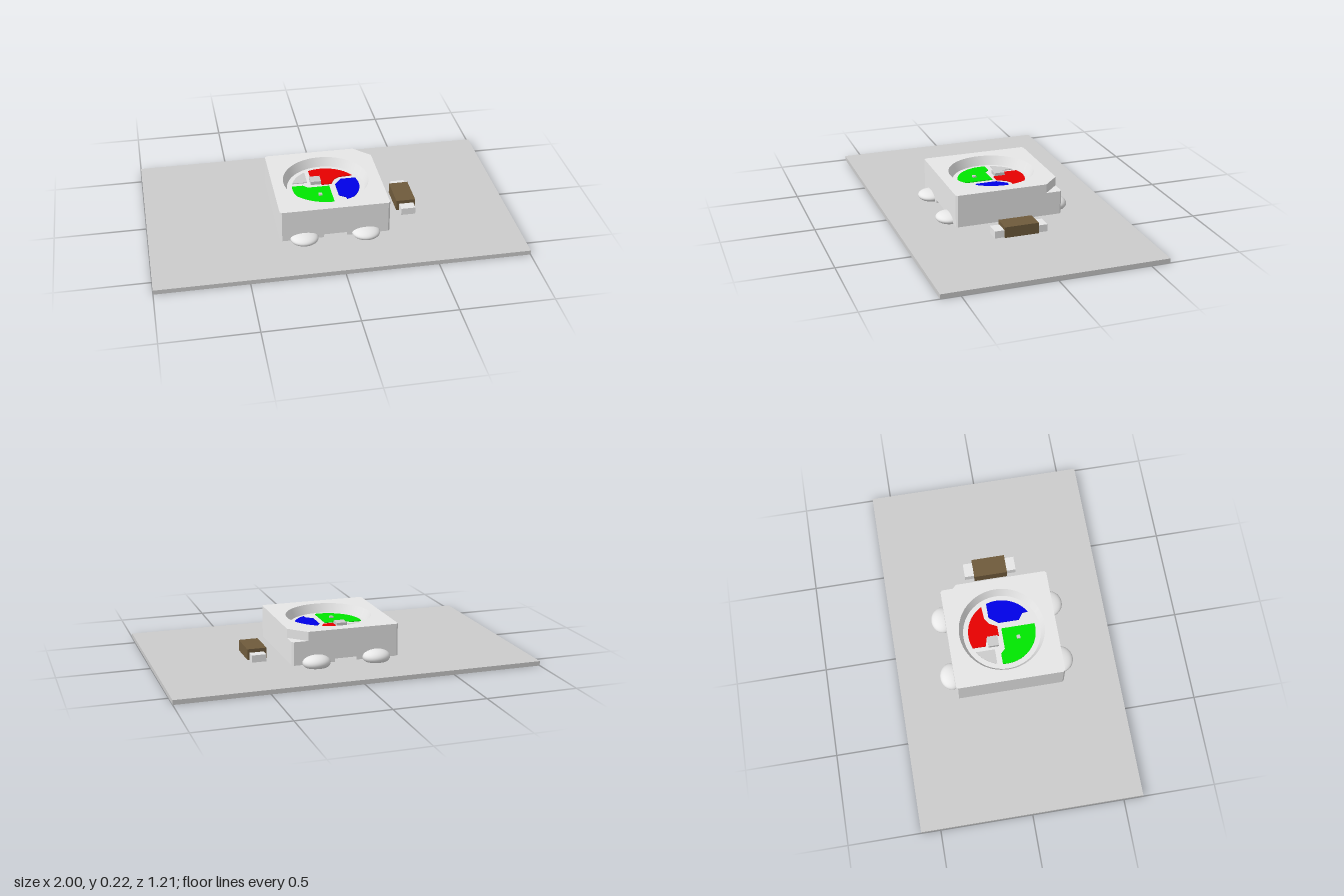
import * as THREE from 'three';

const mat = (name, color, extra = {}) => new THREE.MeshStandardMaterial({ name, color, ...extra });

// Extrudes an outline of [x, z] points upwards from y0 to y1
function slab(points, y0, y1, holeRadius = 0) {
  const shape = new THREE.Shape(points.map(([x, z]) => new THREE.Vector2(x, -z)));
  if (holeRadius) {
    const hole = new THREE.Path();
    hole.absarc(0, 0, holeRadius, 0, Math.PI * 2, true);
    shape.holes.push(hole);
  }
  const geo = new THREE.ExtrudeGeometry(shape, { depth: y1 - y0, bevelEnabled: false, curveSegments: 32 });
  return geo.rotateX(-Math.PI / 2).translate(0, y0, 0);
}

// Points on a circle in plan, from the direction of [x, z] a to that of b, clockwise seen from above
function arc(a, b, radius = 0.187, steps = 16) {
  const start = Math.atan2(a[1], a[0]);
  let end = Math.atan2(b[1], b[0]);
  if (end < start) end += Math.PI * 2;
  return Array.from({ length: steps + 1 }, (_, i) => {
    const t = start + (end - start) * i / steps;
    return [radius * Math.cos(t), radius * Math.sin(t)];
  });
}

export function createModel() {
  const root = new THREE.Group();
  root.name = 'ledOnBoard';

  const boardGrey = mat('board grey', 0xcccccc);
  const black = mat('underside black', 0x000000);
  const white = mat('housing white', 0xfafafa);
  const whiteOpen = mat('housing white', 0xfafafa, { side: THREE.DoubleSide });
  const brown = mat('capacitor brown', 0x6f5b3c);
  const red = mat('red', 0xff0000);
  const green = mat('green', 0x00ff00);
  const blue = mat('blue', 0x0000ff);

  const add = (name, geo, material, x = 0, y = 0, z = 0, parent = root) => {
    const mesh = new THREE.Mesh(geo, material);
    mesh.name = name;
    mesh.position.set(x, y, z);
    parent.add(mesh);
    return mesh;
  };

  // Circuit board, black underneath
  add('board', new THREE.BoxGeometry(2, 0.025, 1.21),
    [boardGrey, boardGrey, boardGrey, black, boardGrey, boardGrey], 0, 0.0125, 0);

  // Housing: notched foot, solid middle, and top with a round well and one cut corner
  const housing = new THREE.Group();
  housing.name = 'housing';
  root.add(housing);
  const s = 0.3, c = 0.29, floorY = 0.165, topY = 0.215;
  const cornerBL = [[-s, -c], [-c, -s]];
  const cornerBR = [[c, -s], [s, -c]];
  const cornerFR = [[s, c], [c, s]];
  const cornerFL = [[-c, s], [-s, c]];
  const n = 0.062, d = 0.2;
  add('housingFoot', slab([
    ...cornerBL, [-n, -s], [-n, -d], [n, -d], [n, -s],
    ...cornerBR, ...cornerFR, [n, s], [n, d], [-n, d], [-n, s], ...cornerFL,
  ], 0.035, 0.053), white, 0, 0, 0, housing);
  add('housingMiddle', slab([...cornerBL, ...cornerBR, ...cornerFR, ...cornerFL], 0.053, floorY),
    white, 0, 0, 0, housing);
  add('housingTop', slab([...cornerBL, [0.21, -s], [s, -0.21], ...cornerFR, ...cornerFL], floorY, topY, 0.237),
    white, 0, 0, 0, housing);
  add('wellWall', new THREE.CylinderGeometry(0.237, 0.215, topY - floorY, 64, 1, true),
    whiteOpen, 0, (topY + floorY) / 2, 0, housing);

  // Coloured contact plates on the floor of the well
  const plate = (name, points, material) => add(name, slab(points, floorY, floorY + 0.004), material);
  plate('redPlate', [
    ...arc([-0.07, -0.175], [0.165, -0.09]),
    [0.09, -0.085], [0.06, -0.065], [0.035, -0.02], [-0.02, -0.02], [-0.02, -0.09], [-0.07, -0.1],
  ], red);
  plate('bluePlate', [
    ...arc([0.177, -0.06], [0.095, 0.162]),
    [0.092, 0.13], [0.055, 0.105], [0.055, -0.01], [0.095, -0.06],
  ], blue);
  plate('greenPlate', [
    ...arc([0.02, 0.186], [-0.185, -0.025]),
    [-0.125, -0.025], [-0.1, 0], [0.02, 0],
  ], green);
  plate('greyPlate', [...arc([-0.178, -0.055], [-0.095, -0.161]), [-0.095, -0.055]], boardGrey);

  // Control chip and bond point
  add('chip', new THREE.BoxGeometry(0.058, 0.02, 0.058), boardGrey, -0.05, floorY + 0.01, -0.058);
  add('bondPoint', new THREE.BoxGeometry(0.02, 0.012, 0.02), boardGrey, -0.045, floorY + 0.006, 0.085);

  // Solder blobs, the rear pair taller
  for (const x of [-0.17, 0.168]) {
    const front = add('frontSolder', new THREE.SphereGeometry(1, 32, 20), white, x, 0.045, 0.3);
    front.scale.set(0.077, 0.03, 0.073);
    const back = add('backSolder', new THREE.SphereGeometry(1, 32, 20), white, x, 0.047, -0.31);
    back.scale.set(0.077, 0.04, 0.066);
  }

  // Capacitor with a terminal at each end
  add('capacitorBody', new THREE.BoxGeometry(0.107, 0.06, 0.188), brown, 0.437, 0.055, 0);
  for (const side of [-1, 1]) {
    add('capacitorTerminal', new THREE.BoxGeometry(0.08, 0.04, 0.054), white, 0.44, 0.045, side * 0.12);
  }

  return root;
}
